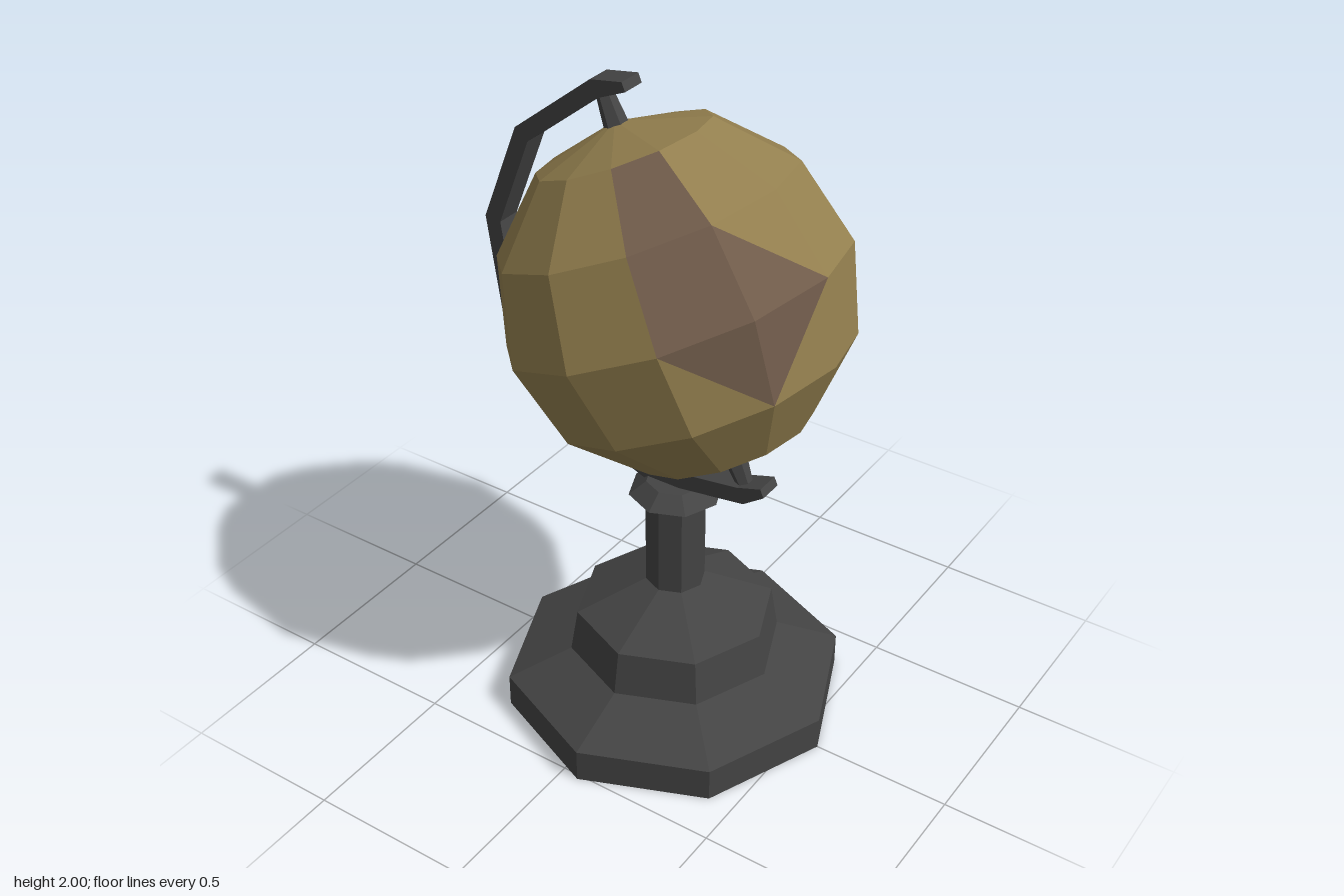
import * as THREE from 'three';

const AXIS_X = 0.057, GLOBE_Y = 1.4, GLOBE_R = 0.505, TILT = THREE.MathUtils.degToRad(23.4);

function mat(color, side = THREE.FrontSide) {
  return new THREE.MeshStandardMaterial({ color, flatShading: true, side });
}

function add(parent, name, geometry, material) {
  const mesh = new THREE.Mesh(geometry, material);
  mesh.name = name;
  parent.add(mesh);
  return mesh;
}

// Brown patches: cell "ring,sector" -> triangles of the cell that are brown
// (corners a, b on the upper ring and d, c on the lower one).
const LAND = {
  '1,1': 'abd bcd', '2,1': 'abd bcd', '2,0': 'bcd', '3,0': 'abc', '3,1': 'abd',
  '2,10': 'bcd', '3,10': 'abd bcd', '3,9': 'bcd', '4,9': 'abc',
  '1,6': 'abd bcd', '2,6': 'acd', '3,6': 'abd',
};
const OTHER_HALF = { abd: 'bcd', bcd: 'abd', abc: 'acd', acd: 'abc' };

// Globe faces in 30 degree steps, split into sea and land
function globeGeometries() {
  const step = Math.PI / 6;
  const point = (i, j) => [
    GLOBE_R * Math.sin(i * step) * Math.cos(j * step),
    GLOBE_R * Math.cos(i * step),
    GLOBE_R * Math.sin(i * step) * Math.sin(j * step),
  ];
  const sea = [], land = [];
  for (let i = 0; i < 6; i++) {
    for (let j = 0; j < 12; j++) {
      const corner = { a: point(i, j), b: point(i, j + 1), c: point(i + 1, j + 1), d: point(i + 1, j) };
      const push = (list, tri) => { for (const k of tri) list.push(...corner[k]); };
      const brown = (LAND[`${i},${j}`] || '').split(' ').filter(Boolean);
      brown.forEach((tri) => push(land, tri));
      if (brown.length === 1) push(sea, OTHER_HALF[brown[0]]);
      if (brown.length === 0) {
        if (i < 5) push(sea, 'bcd');
        if (i > 0) push(sea, 'abd');
        if (i === 5) push(sea, 'abd'.length && i === 0 ? 'abd' : 'acd');
      }
    }
  }
  return [sea, land].map((list) => {
    const g = new THREE.BufferGeometry();
    g.setAttribute('position', new THREE.Float32BufferAttribute(list, 3));
    g.computeVertexNormals();
    return g;
  });
}

// Faceted half ring from pole to pole on the -x side, with tapered tips
function frameGeometry() {
  const outer = [], inner = [];
  for (let k = 0; k <= 6; k++) {
    const t = (k * Math.PI) / 6;
    outer.push(new THREE.Vector2(-0.635 * Math.sin(t), 0.635 * Math.cos(t)));
    inner.push(new THREE.Vector2(-0.582 * Math.sin(t), 0.582 * Math.cos(t)));
  }
  const tip = (x, y) => new THREE.Vector2(x, y);
  const outline = [
    tip(0.1, 0.61), ...outer, tip(0.08, -0.618),
    tip(0.08, -0.59), ...inner.reverse(), tip(0.1, 0.582),
  ];
  const g = new THREE.ExtrudeGeometry(new THREE.Shape(outline), { depth: 0.076, bevelEnabled: false });
  return g.translate(0, 0, -0.038);
}

export function createModel() {
  const model = new THREE.Group();
  model.name = 'deskGlobe';
  const dark = mat(0x444444);

  // Octagonal stepped base, column and collar
  const profile = [
    [0, 0], [0.516, 0], [0.516, 0.105], [0.322, 0.192], [0.3, 0.328], [0.09, 0.428],
    [0.09, 0.71], [0.14, 0.745], [0.088, 0.785], [0, 0.785],
  ].map(([r, y]) => new THREE.Vector2(r, y));
  const stand = add(model, 'stand', new THREE.LatheGeometry(profile, 8), dark);
  stand.position.x = AXIS_X;

  // Everything on the tilted axis
  const tilted = new THREE.Group();
  tilted.name = 'tiltedGlobe';
  tilted.position.set(AXIS_X, GLOBE_Y, 0);
  tilted.rotation.z = TILT;
  model.add(tilted);

  const [sea, land] = globeGeometries();
  add(tilted, 'globeSea', sea, mat(0x94804f));
  add(tilted, 'globeLand', land, mat(0x715c4b));
  add(tilted, 'meridianFrame', frameGeometry(), dark);

  // Pivot pins, wider at the globe
  for (const s of [1, -1]) {
    const pin = add(tilted, s > 0 ? 'topPin' : 'bottomPin', new THREE.CylinderGeometry(0.024, 0.036, 0.11, 6), dark);
    pin.position.y = s * 0.54;
    if (s < 0) pin.rotation.x = Math.PI;
  }
  return model;
}
